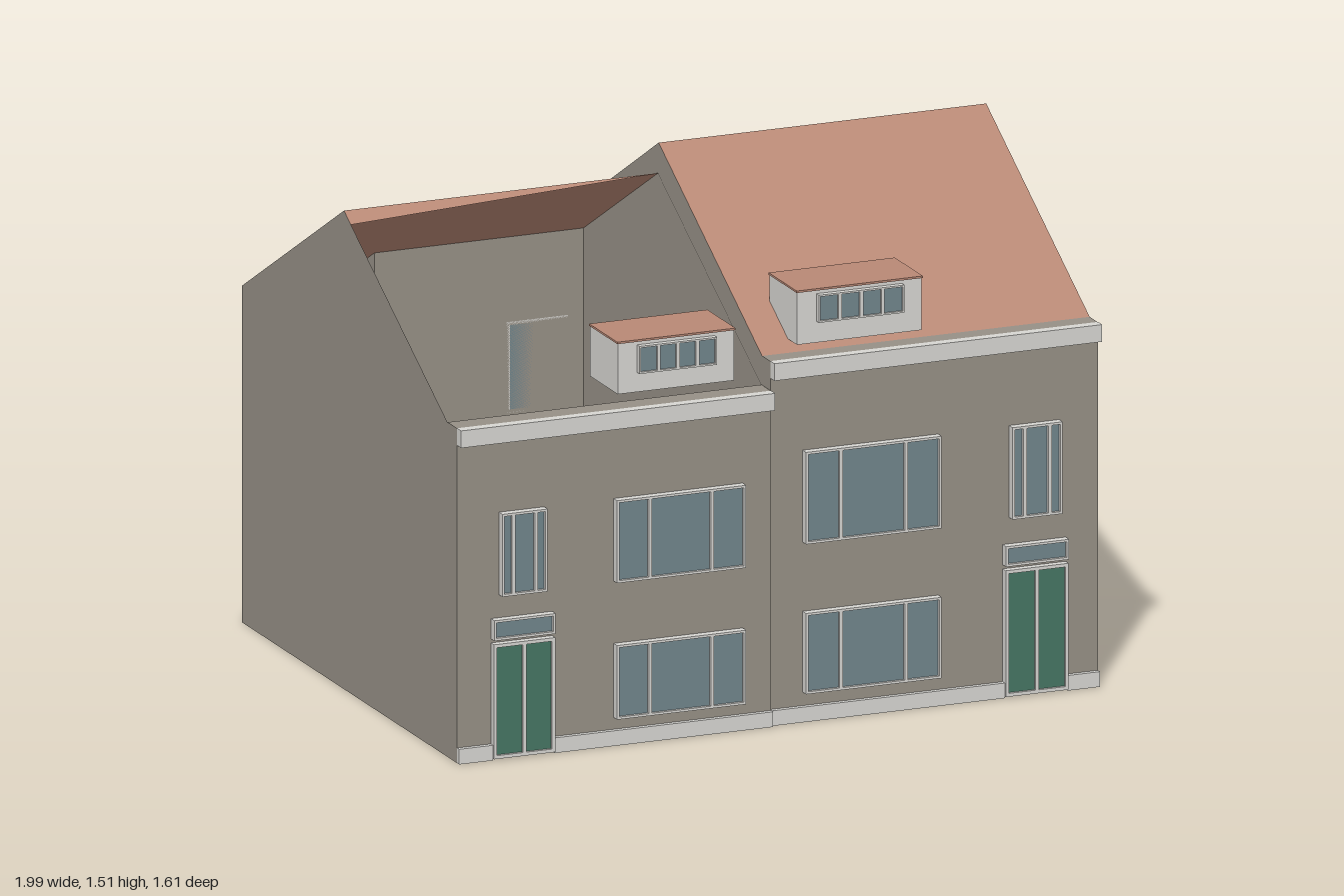
import * as THREE from 'three';

const material = (name, color, side = THREE.FrontSide) => {
  const m = new THREE.MeshStandardMaterial({ color, side });
  m.name = name;
  return m;
};

export function createModel() {
  const wall = material('wall', 0x969086, THREE.DoubleSide);
  const roof = material('roofTile', 0xb88875, THREE.DoubleSide);
  const trim = material('trim', 0xd7d6d2);
  const glass = material('glass', 0x71858c);
  const green = material('doorGreen', 0x467563);

  const model = new THREE.Group();
  model.name = 'terracedHouses';

  // Flat convex polygons merged into one mesh
  function faces(name, mat, polygons, parent) {
    const pos = [];
    for (const p of polygons)
      for (let i = 1; i < p.length - 1; i++) pos.push(...p[0], ...p[i], ...p[i + 1]);
    const g = new THREE.BufferGeometry();
    g.setAttribute('position', new THREE.Float32BufferAttribute(pos, 3));
    g.computeVertexNormals();
    const m = new THREE.Mesh(g, mat);
    m.name = name;
    parent.add(m);
  }

  // Box given by its limits
  function box(name, mat, x0, x1, y0, y1, z0, z1, parent) {
    const m = new THREE.Mesh(new THREE.BoxGeometry(x1 - x0, y1 - y0, Math.abs(z1 - z0)), mat);
    m.position.set((x0 + x1) / 2, (y0 + y1) / 2, (z0 + z1) / 2);
    m.name = name;
    parent.add(m);
  }

  // Framed panel on a wall: dir is +1 on the front, -1 on the back
  function panel(name, x0, x1, y0, y1, z, dir, depth, mullions, parent, fill = glass, b = 0.007) {
    const g = new THREE.Group();
    g.name = name;
    const zf = z + dir * depth;
    box('pane', fill, x0 + b, x1 - b, y0 + b, y1 - b, z, z + dir * depth * 0.6, g);
    box('frameBottom', trim, x0, x1, y0, y0 + b, z, zf, g);
    box('frameTop', trim, x0, x1, y1 - b, y1, z, zf, g);
    box('frameSide', trim, x0, x0 + b, y0 + b, y1 - b, z, zf, g);
    box('frameSide', trim, x1 - b, x1, y0 + b, y1 - b, z, zf, g);
    for (const m of mullions) box('mullion', trim, m - 0.005, m + 0.005, y0 + b, y1 - b, z, zf, g);
    parent.add(g);
  }

  const ridgeZ = -0.05, gutterZ = 0.7, backZ = -0.59;

  // One house; outer is the free gable end, party the shared side, wing the inner side of the rear wing
  function house(name, o) {
    const g = new THREE.Group();
    g.name = name;
    model.add(g);
    const { outer, party, wing, wingZ, frontZ, eave, ridge } = o;
    const slope = (ridge - eave) / (gutterZ - ridgeZ);
    const rearY = z => ridge - slope * (ridgeZ - z);
    const gable = (x, z) => [[x, 0, z], [x, rearY(z), z], [x, ridge, ridgeZ],
      [x, eave, gutterZ], [x, eave, frontZ], [x, 0, frontZ]];
    const upright = (xa, za, xb, zb) => [[xa, 0, za], [xb, 0, zb], [xb, rearY(zb), zb], [xa, rearY(za), za]];
    const level = (xa, xb, za, zb, y) => [[xa, y, za], [xb, y, za], [xb, y, zb], [xa, y, zb]];

    faces('walls', wall, [
      gable(outer, wingZ), gable(party, backZ),
      upright(outer, wingZ, wing, wingZ), upright(wing, wingZ, wing, backZ), upright(wing, backZ, party, backZ),
      [[outer, 0, frontZ], [party, 0, frontZ], [party, eave, frontZ], [outer, eave, frontZ]],
      level(outer, party, gutterZ, frontZ, eave),
      level(outer, party, backZ, frontZ, 0), level(outer, wing, wingZ, backZ, 0),
    ], g);

    const rear = (xa, xb, z) => [[xa, ridge, ridgeZ], [xb, ridge, ridgeZ], [xb, rearY(z), z], [xa, rearY(z), z]];
    faces('rearRoof', roof, [rear(outer, wing, wingZ), rear(wing, party, backZ)], g);
    // Front slope: full on one house, only a sliver below the ridge on the other
    faces('frontRoof', roof, [o.openFront
      ? [[outer, ridge, ridgeZ], [outer, ridge - slope * 0.05, 0], [party, ridge, ridgeZ]]
      : [[outer, ridge, ridgeZ], [party, ridge, ridgeZ], [party, eave, gutterZ], [outer, eave, gutterZ]]], g);

    // Cornice and plinth
    const xMin = Math.min(outer, party), xMax = Math.max(outer, party);
    box('cornice', trim, xMin, xMax, eave - 0.05, eave + 0.001, frontZ, frontZ + 0.03, g);
    const [d0, d1] = o.door;
    box('plinth', trim, xMin, d0, 0, 0.045, frontZ, frontZ + 0.015, g);
    box('plinth', trim, d1, xMax, 0, 0.045, frontZ, frontZ + 0.015, g);

    // Front windows and door
    const [w0, w1] = o.wide, [n0, n1] = o.narrow;
    const wideBars = [w0 + (w1 - w0) * 0.26, w0 + (w1 - w0) * 0.74];
    const narrowBars = [n0 + (n1 - n0) * 0.25, n0 + (n1 - n0) * 0.75];
    panel('upperWindow', w0, w1, ...o.upper, frontZ, 1, 0.025, wideBars, g);
    panel('lowerWindow', w0, w1, ...o.lower, frontZ, 1, 0.025, wideBars, g);
    panel('narrowWindow', n0, n1, ...o.upper, frontZ, 1, 0.025, narrowBars, g);
    panel('door', d0, d1, 0.005, o.doorTop, frontZ, 1, 0.022, [(d0 + d1) / 2], g, green, 0.01);
    panel('transom', d0, d1, o.doorTop + 0.012, o.doorTop + 0.072, frontZ, 1, 0.025, [], g);

    // Rear windows on two floors
    for (const [x, z] of o.rear)
      for (const [a, b] of o.rearFloors)
        panel('rearWindow', x, x + 0.19, a, b, z, -1, 0.008, [], g, glass, 0.01);

    // Dormer with four small panes
    const [x0, x1, y0, y1, z0, z1] = o.dormer;
    const dormer = new THREE.Group();
    dormer.name = 'dormer';
    box('dormerBody', trim, x0, x1, y0, y1, z0, z1, dormer);
    box('dormerRoof', roof, x0 - 0.003, x1 + 0.003, y1, y1 + 0.006, z0, z1 + 0.004, dormer);
    const a = x0 + 0.06, b = x1 - 0.06, q = (b - a) / 4;
    panel('dormerWindow', a, b, y1 - 0.092, y1 - 0.01, z1, 1, 0.018, [a + q, a + 2 * q, a + 3 * q], dormer, glass, 0.005);
    g.add(dormer);
  }

  house('lowHouse', {
    outer: -0.995, party: -0.022, wing: -0.67, wingZ: -0.79, frontZ: 0.77, eave: 0.993, ridge: 1.42,
    openFront: true, door: [-0.89, -0.7], doorTop: 0.345,
    wide: [-0.51, -0.11], narrow: [-0.865, -0.725], upper: [0.485, 0.73], lower: [0.08, 0.3],
    rear: [[-0.26, backZ], [-0.64, backZ]], rearFloors: [[0.11, 0.38], [0.59, 0.86]],
    dormer: [-0.48, -0.12, 1.025, 1.175, 0.53, 0.73],
  });

  house('tallHouse', {
    outer: 0.995, party: -0.02, wing: 0.61, wingZ: -0.8, frontZ: 0.76, eave: 1.078, ridge: 1.51,
    openFront: false, door: [0.7, 0.895], doorTop: 0.38,
    wide: [0.08, 0.5], narrow: [0.72, 0.875], upper: [0.53, 0.803], lower: [0.085, 0.325],
    rear: [[0.71, -0.8], [0.4, backZ], [0.02, backZ]], rearFloors: [[0.11, 0.42], [0.6, 0.91]],
    dormer: [0.08, 0.465, 1.105, 1.26, 0.52, 0.72],
  });

  return model;
}
